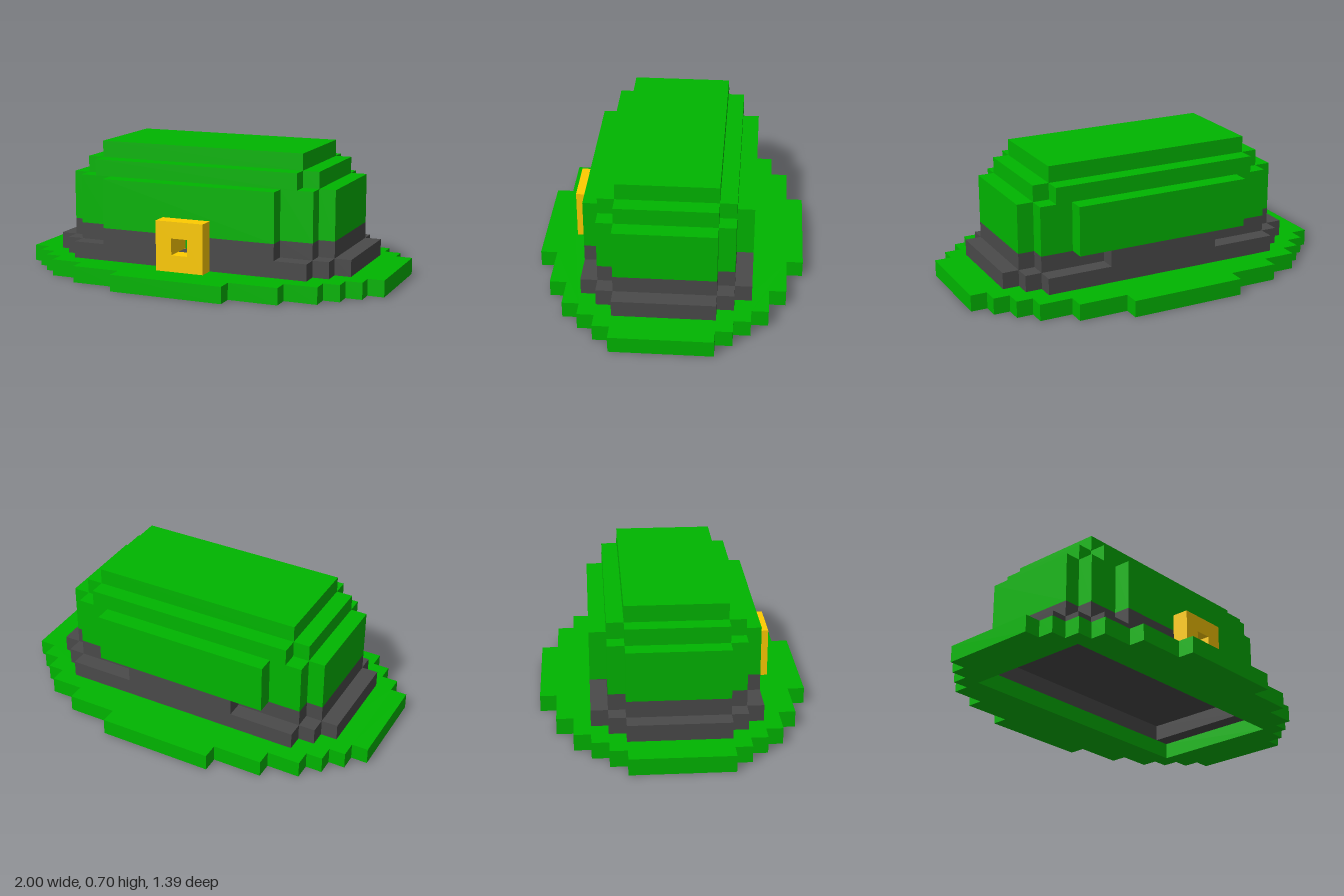
import * as THREE from 'three';

const U = 2 / 23; // one block
const material = (color) => new THREE.MeshStandardMaterial({ color, flatShading: true });

// Corners of a stepped quarter outline; rows are [half width in x, reach in z], widest first
function quarter(rows) {
  const pts = [];
  rows.forEach(([hx, hz], i) => {
    pts.push([hx, hz]);
    if (i < rows.length - 1) pts.push([rows[i + 1][0], hz]);
  });
  return pts;
}

// Full stepped outline, mirrored in x; the back may differ and the front may have a notch
function outline(front, back = front, notch = null) {
  const f = quarter(front);
  const cut = notch ? [[notch[0], f.at(-1)[1]], notch] : [];
  const b = quarter(back).map(([x, z]) => [x, -z]).reverse();
  const right = [...b, ...f, ...cut]; // from the back round to the front
  const left = right.map(([x, z]) => [-x, z]).reverse();
  return [...right, ...left].reverse();
}

const toVectors = (pts) => pts.map(([x, z]) => new THREE.Vector2(x * U, -z * U));

// Horizontal slab from y0 to y1, with an optional rectangular opening
function slab(name, mat, pts, y0, y1, opening) {
  const shape = new THREE.Shape(toVectors(pts));
  if (opening) shape.holes.push(new THREE.Path(toVectors(outline([opening]))));
  const geo = new THREE.ExtrudeGeometry(shape, { depth: (y1 - y0) * U, bevelEnabled: false });
  geo.rotateX(-Math.PI / 2).translate(0, y0 * U, 0);
  const mesh = new THREE.Mesh(geo, mat);
  mesh.name = name;
  return mesh;
}

export function createModel() {
  const green = material(0x00b500);
  const grey = material(0x4a4a4a);
  const gold = material(0xffcc00);
  const hat = new THREE.Group();
  hat.name = 'hat';

  // Brim with the head opening
  const brim = [[11.5, 3], [10.5, 4], [9.5, 5], [8.5, 6], [6.5, 7], [3.5, 8]];
  hat.add(slab('brim', green, outline(brim), 0, 1, [8.5, 4]));

  // Band: wide hollow lower layer, narrower closed upper layer
  hat.add(slab('lowerBand', grey, outline([[9.5, 3], [8.5, 4], [7.5, 5]]), 1, 2, [7.5, 4]));
  const wall = [[8.5, 3], [7.5, 4], [5.5, 5]];
  const shortBack = [[8.5, 3], [7.5, 4], [3.5, 5]];
  hat.add(slab('upperBand', grey, outline(wall, shortBack, [1.5, 4]), 2, 3));

  // Crown stepping in towards the top
  hat.add(slab('crownWall', green, outline(wall), 3, 6));
  hat.add(slab('crownShoulder', green, outline([[7.5, 3], [6.5, 4]]), 6, 7));
  hat.add(slab('crownTop', green, outline([[6.5, 3]]), 7, 8));

  // Square buckle, set through the band, with a hole in the middle
  const square = (r) => toVectors([[-r, r], [r, r], [r, -r], [-r, -r]]);
  const frame = new THREE.Shape(square(1.5));
  frame.holes.push(new THREE.Path(square(0.5)));
  const buckle = new THREE.Mesh(
    new THREE.ExtrudeGeometry(frame, { depth: 2.02 * U, bevelEnabled: false }), gold);
  buckle.name = 'buckle';
  buckle.position.set(0, 2.5 * U, 3.98 * U);
  hat.add(buckle);

  // Green block seen through the buckle
  const backing = new THREE.Mesh(new THREE.BoxGeometry(U, 1.02 * U, 1.02 * U), green);
  backing.name = 'buckleBacking';
  backing.position.set(0, 2.49 * U, 3.5 * U);
  hat.add(backing);

  return hat;
}
